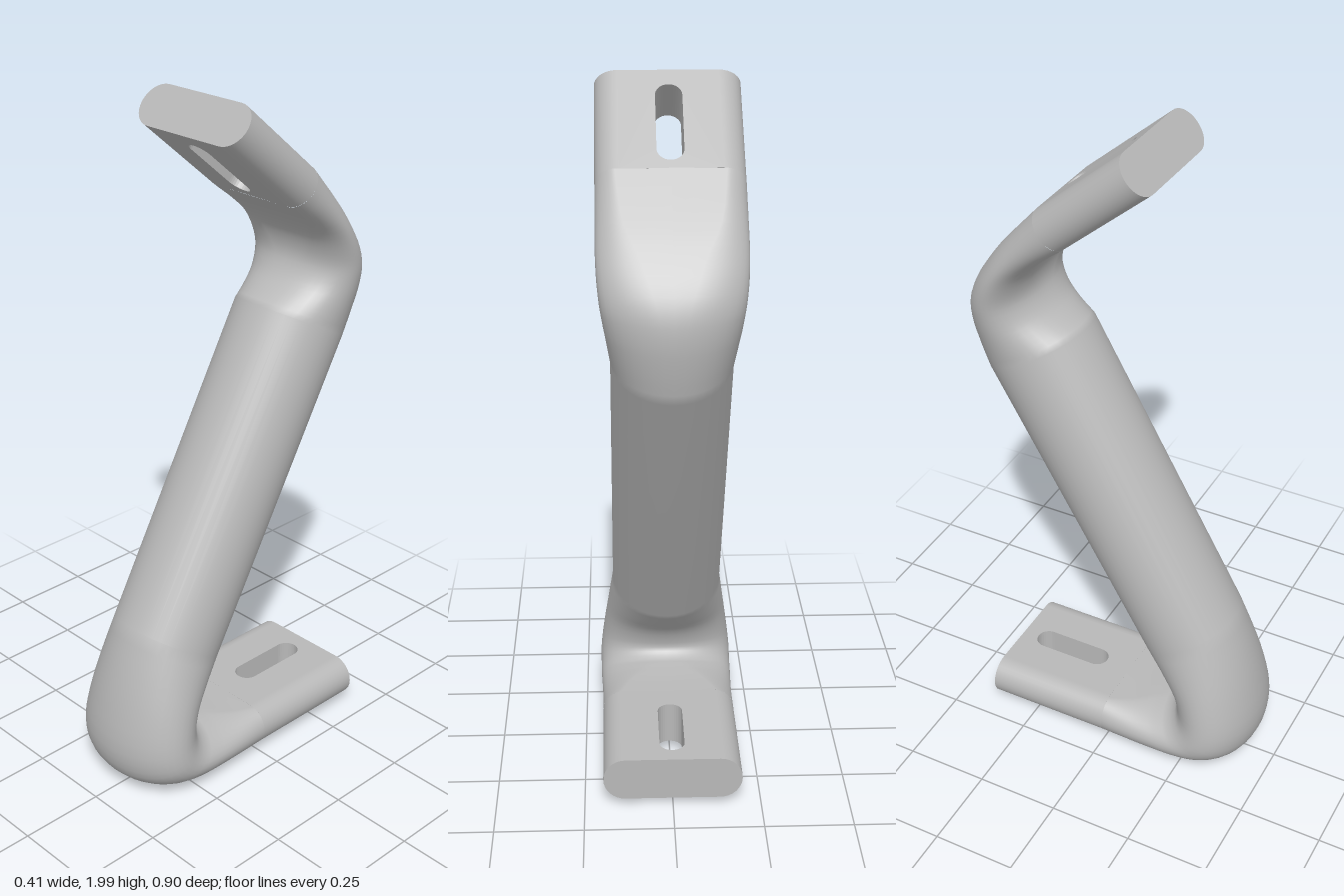
import * as THREE from 'three';

const HALF_WIDTH = 0.197; // half width of the flattened ends
const THICK = 0.125;      // thickness of the flattened ends

// Sections of each bend: [front z, front y, back z, back y, half width, roundness]
// roundness 0 = flat oval with round edges, 1 = ellipse
const LOWER_BEND = [
  [0, 0.025, 0, 0.15, 0.197, 0],
  [0.1, 0.013, 0.06, 0.151, 0.198, 0.2],
  [0.2, 0.005, 0.11, 0.155, 0.2, 0.5],
  [0.3, 0.008, 0.15, 0.16, 0.203, 0.8],
  [0.39, 0.034, 0.18, 0.17, 0.204, 1],
  [0.435, 0.08, 0.194, 0.185, 0.204, 1],
  [0.45, 0.16, 0.195, 0.205, 0.199, 1],
  [0.43, 0.28, 0.175, 0.255, 0.188, 1],
  [0.395, 0.4, 0.13, 0.305, 0.176, 1],
  [0.35, 0.52, 0.08, 0.36, 0.164, 1],
];
const UPPER_BEND = [
  [-0.13, 1.375, -0.42, 1.22, 0.162, 1],
  [-0.18, 1.4, -0.438, 1.3, 0.17, 1],
  [-0.225, 1.43, -0.449, 1.38, 0.179, 1],
  [-0.255, 1.475, -0.443, 1.455, 0.188, 0.9],
  [-0.26, 1.515, -0.41, 1.53, 0.194, 0.7],
  [-0.245, 1.565, -0.36, 1.6, 0.197, 0.5],
  [-0.2, 1.62, -0.3, 1.672, 0.197, 0.2],
  [-0.118, 1.688, -0.198, 1.785, 0.197, 0],
];

// Smoothly resample a bend; x carries the half width or the roundness
function sampleBend(rows, steps) {
  const front = new THREE.CatmullRomCurve3(rows.map(r => new THREE.Vector3(r[4], r[1], r[0])));
  const back = new THREE.CatmullRomCurve3(rows.map(r => new THREE.Vector3(r[5], r[3], r[2])));
  return Array.from({ length: steps + 1 }, (_, i) => [front.getPoint(i / steps), back.getPoint(i / steps)]);
}

// Loft rings from the lower end to the upper end
function loftGeometry(sections, sides) {
  const positions = [], indices = [];
  sections.forEach(([f, b], row) => {
    const w = f.x, round = THREE.MathUtils.clamp(b.x, 0, 1);
    const dy = (f.y - b.y) / 2, dz = (f.z - b.z) / 2;
    const r = Math.min(Math.hypot(dy, dz), w);
    for (let j = 0; j < sides; j++) {
      const a = (j / sides) * Math.PI * 2;
      const c = Math.abs(Math.cos(a)) < 1e-6 ? 0 : Math.cos(a), s = Math.sin(a);
      const oval = Math.sign(c) * (w - r) + r * c;
      positions.push(
        THREE.MathUtils.lerp(oval, w * c, round),
        (f.y + b.y) / 2 + dy * s,
        (f.z + b.z) / 2 + dz * s,
      );
      if (row === sections.length - 1) continue;
      const p = row * sides + j, q = row * sides + (j + 1) % sides;
      indices.push(p, p + sides, q, q, p + sides, q + sides);
    }
  });
  const g = new THREE.BufferGeometry();
  g.setAttribute('position', new THREE.Float32BufferAttribute(positions, 3));
  g.setIndex(indices);
  g.computeVertexNormals();
  return g;
}

// Flattened end running along local +y, with a slot near its tip
function makeTab(name, length, material) {
  const tab = new THREE.Group();
  tab.name = name;
  const flat = HALF_WIDTH - THICK / 2;

  const shape = new THREE.Shape();
  shape.moveTo(-flat, 0);
  shape.lineTo(flat, 0);
  shape.lineTo(flat, length);
  shape.lineTo(-flat, length);
  shape.closePath();
  const slotR = 0.036;
  const slot = new THREE.Path();
  slot.absarc(0, length - 0.05 - slotR, slotR, 0, Math.PI, false);
  slot.absarc(0, length - 0.3 + slotR, slotR, Math.PI, Math.PI * 2, false);
  slot.closePath();
  shape.holes.push(slot);

  const plateGeo = new THREE.ExtrudeGeometry(shape, { depth: THICK, bevelEnabled: false, curveSegments: 8 });
  plateGeo.translate(0, 0, -THICK / 2);
  const plate = new THREE.Mesh(plateGeo, material);
  plate.name = name + 'SlottedPlate';
  tab.add(plate);

  // Rounded long edges
  for (const side of [1, -1]) {
    const edge = new THREE.Mesh(
      new THREE.CylinderGeometry(THICK / 2, THICK / 2, length, 16, 1, false, side > 0 ? 0 : Math.PI, Math.PI),
      material,
    );
    edge.name = name + (side > 0 ? 'LeftEdge' : 'RightEdge');
    edge.position.set(side * flat, length / 2, 0);
    tab.add(edge);
  }
  return tab;
}

export function createModel() {
  const model = new THREE.Group();
  model.name = 'bentTubeBracket';
  const metal = new THREE.MeshStandardMaterial({ color: 0xb8b8b8 });
  metal.name = 'greyMetal';

  // Round tube with its two bends
  const sections = [...sampleBend(LOWER_BEND, 27), ...sampleBend(UPPER_BEND, 21)];
  const tube = new THREE.Mesh(loftGeometry(sections, 40), metal);
  tube.name = 'bentTube';
  model.add(tube);

  // Foot, pointing backwards
  const foot = makeTab('foot', 0.382, metal);
  foot.position.set(0, 0.0875, 0);
  foot.rotation.x = -Math.PI / 2;
  model.add(foot);

  // Top tab, pointing forwards and up
  const top = makeTab('topTab', 0.327, metal);
  top.position.set(0, 1.7365, -0.158);
  top.rotation.x = 0.868;
  model.add(top);

  return model;
}
